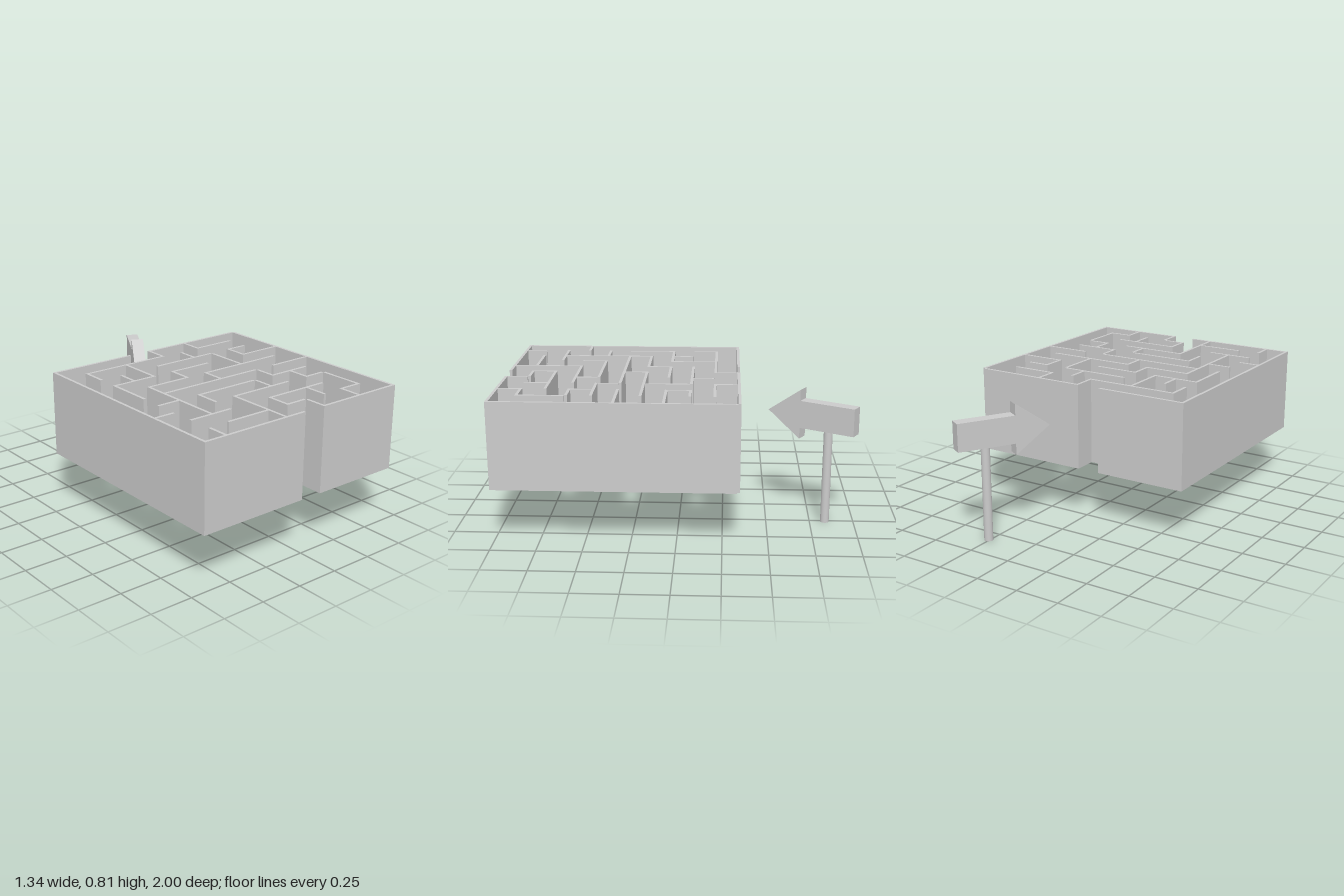
import * as THREE from 'three';

const material = new THREE.MeshStandardMaterial({ color: 0xcccccc, flatShading: true });
const smooth = new THREE.MeshStandardMaterial({ color: 0xcccccc });

// Maze grid: 10 x 10 cells
const CELL = 0.1328, X0 = -0.664, Z0 = -0.335;
const T = 0.016, H = T / 2;
const BOTTOM = 0.316, TOP = 0.808;

// Walls along x: for each grid row, [from, to] columns
const rows = [
  [[0, 4], [5, 10]],
  [[1, 5], [7, 9]],
  [[4, 7], [8, 9]],
  [[1, 3], [4, 6], [8, 10]],
  [[2, 4], [5, 9]],
  [[2, 7], [8, 10]],
  [[1, 2], [3, 6], [7, 9]],
  [[0, 1], [4, 7], [8, 9]],
  [[1, 3], [5, 8]],
  [[2, 4], [5, 6], [8, 9]],
  [[0, 5], [6, 10]],
];

// Walls along z: for each grid column, [from, to] rows
const columns = [
  [[0, 10]],
  [[1, 2], [3, 5], [9, 10]],
  [[2, 3], [4, 8]],
  [[1, 3], [6, 7]],
  [[3, 4], [7, 10]],
  [[0, 1], [4, 5], [8, 9]],
  [[1, 2], [6, 7], [9, 10]],
  [[0, 1], [2, 4], [5, 6], [8, 9]],
  [[2, 3], [6, 7], [9, 10]],
  [[7, 9]],
  [[0, 10]],
];

function wall(name, x1, x2, z1, z2) {
  const mesh = new THREE.Mesh(new THREE.BoxGeometry(x2 - x1, TOP - BOTTOM, z2 - z1), material);
  mesh.position.set((x1 + x2) / 2, (TOP + BOTTOM) / 2, (z1 + z2) / 2);
  mesh.name = name;
  return mesh;
}

function createMaze() {
  const maze = new THREE.Group();
  maze.name = 'maze';
  rows.forEach((spans, j) => spans.forEach(([a, b]) => {
    const z = Z0 + j * CELL;
    const name = j % 10 ? 'innerCrossWall' : 'outerCrossWall';
    maze.add(wall(name, X0 + a * CELL - H, X0 + b * CELL - H, z - H, z + H));
  }));
  columns.forEach((spans, i) => spans.forEach(([a, b]) => {
    const x = X0 + i * CELL;
    const name = i % 10 ? 'innerLengthWall' : 'outerLengthWall';
    maze.add(wall(name, x - H, x + H, Z0 + a * CELL + H, Z0 + b * CELL + H));
  }));
  return maze;
}

function createSign() {
  const sign = new THREE.Group();
  sign.name = 'arrowSign';

  // Arrow board, drawn along +x then turned toward the back entrance
  const length = 0.528, neck = 0.329, shaft = 0.079, head = 0.143, depth = 0.072;
  const shape = new THREE.Shape([
    [0, -shaft], [neck, -shaft], [neck, -head], [length, 0],
    [neck, head], [neck, shaft], [0, shaft],
  ].map(([x, y]) => new THREE.Vector2(x, y)));
  const geometry = new THREE.ExtrudeGeometry(shape, { depth, bevelEnabled: false });
  geometry.translate(0, 0, -depth / 2);
  const arrow = new THREE.Mesh(geometry, material);
  arrow.name = 'arrow';
  arrow.position.set(0.339, 0.623, -0.982);
  arrow.rotation.y = -Math.PI * 2 / 3;
  sign.add(arrow);

  // Round post under the arrow
  const post = new THREE.Mesh(new THREE.CylinderGeometry(0.025, 0.025, 0.546, 32), smooth);
  post.name = 'post';
  post.position.set(0.258, 0.273, -0.837);
  sign.add(post);
  return sign;
}

export function createModel() {
  const model = new THREE.Group();
  model.name = 'mazeWithSign';
  model.add(createMaze(), createSign());
  return model;
}
